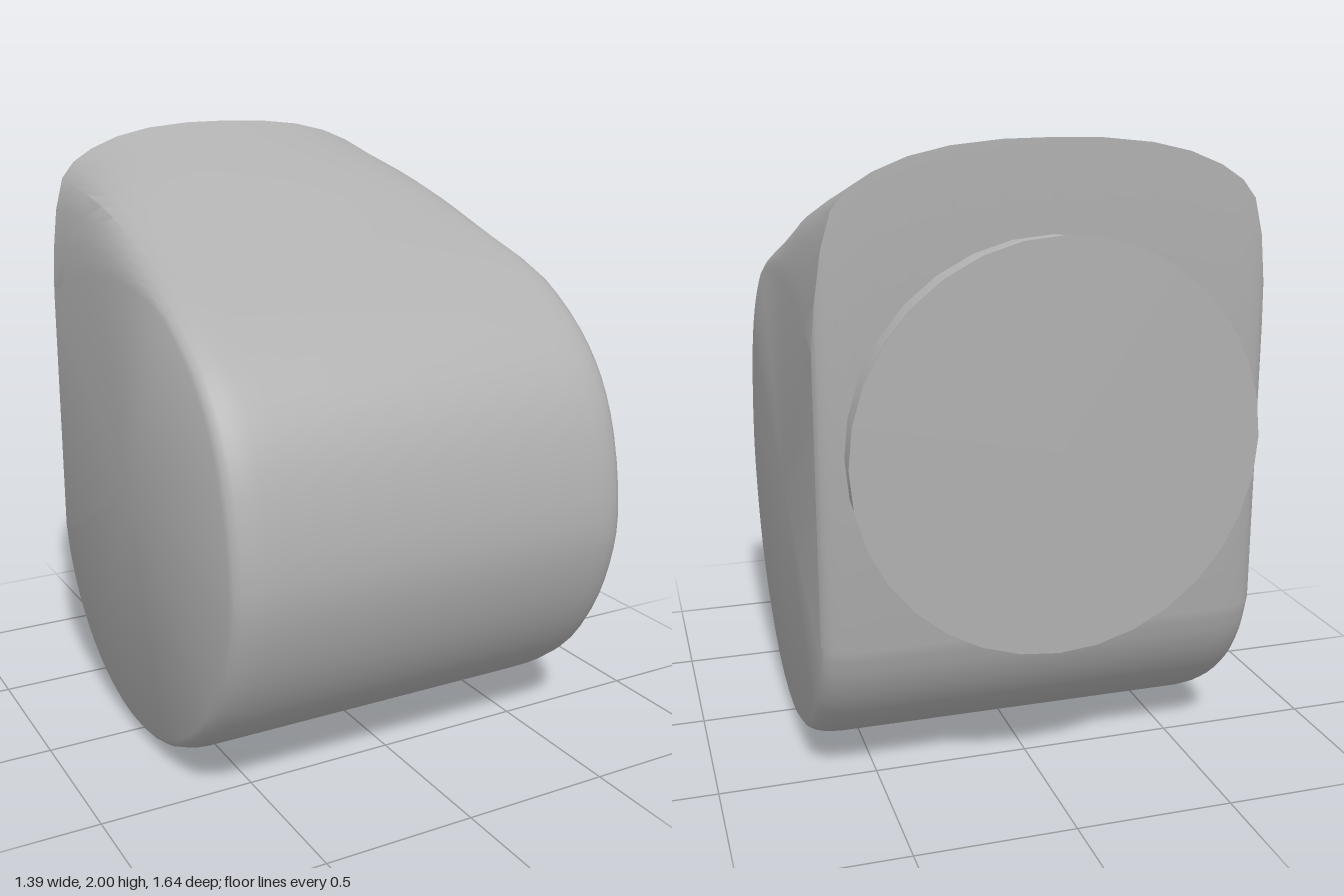
import * as THREE from 'three';
import { toCreasedNormals } from 'three/addons/utils/BufferGeometryUtils.js';

// Side outline as [z, y], from the top rear corner over the front to the lower rear
const OUTLINE = [
  [-0.71, 2.0], [-0.3, 1.85], [0, 1.71], [0.38, 1.53], [0.58, 1.39], [0.7, 1.25],
  [0.78, 1.07], [0.825, 0.8], [0.8, 0.62], [0.72, 0.42], [0.58, 0.24], [0.27, 0.05],
  [-0.05, 0.005], [-0.28, 0.055], [-0.43, 0.13], [-0.58, 0.26], [-0.67, 0.4], [-0.71, 0.52],
];

// Half-width stations: [x, inset of the outline, drop of the top at the rear]
const HALF = [
  [0.15, 0, 0.003], [0.3, 0, 0.018], [0.42, 0, 0.045], [0.52, 0, 0.085], [0.59, 0, 0.13],
  [0.635, 0.004, 0.18], [0.665, 0.012, 0.28], [0.685, 0.024, 0.42], [0.695, 0.04, 0.55],
];

function bodyGeometry() {
  const curve = new THREE.CatmullRomCurve3(
    OUTLINE.map(([z, y]) => new THREE.Vector3(0, y, z)), false, 'centripetal');
  const loop = curve.getPoints(51);
  const stations = [
    ...HALF.map(([x, s, d]) => [-x, s, d]).reverse(), [0, 0, 0], ...HALF,
  ];
  const n = loop.length;
  const positions = [];
  const index = [];

  // The top arches down towards both sides, most strongly at the rear
  for (const [x, inset, drop] of stations) {
    const k = 1 - inset / 0.8;
    for (const p of loop) {
      const rear = p.y > 1.2 ? Math.max(0, (0.4 - p.z) / 1.11) : 0;
      const y = p.y - drop * Math.pow(rear, 1.5);
      positions.push(x, 0.85 + (y - 0.85) * k, p.z * k);
    }
  }
  for (let i = 0; i < stations.length - 1; i++) {
    for (let j = 0; j < n; j++) {
      const a = i * n + j;
      const d = i * n + (j + 1) % n;
      index.push(a, d, d + n, a, d + n, a + n);
    }
  }

  // Flat side walls
  const last = (stations.length - 1) * n;
  const c = positions.length / 3;
  positions.push(stations[0][0], 0.85, 0, stations.at(-1)[0], 0.85, 0);
  for (let j = 0; j < n; j++) {
    const next = (j + 1) % n;
    index.push(c, next, j, c + 1, last + j, last + next);
  }

  const g = new THREE.BufferGeometry();
  g.setAttribute('position', new THREE.Float32BufferAttribute(positions, 3));
  g.setIndex(index);
  return toCreasedNormals(g, 0.6);
}

export function createModel() {
  const group = new THREE.Group();
  group.name = 'roundedHousing';
  const grey = new THREE.MeshStandardMaterial({ color: 0xb0b0b0 });
  grey.name = 'grey';

  const body = new THREE.Mesh(bodyGeometry(), grey);
  body.name = 'body';
  group.add(body);

  // Round rear boss with a slightly waisted rim
  const rim = [[0, 0], [0.62, 0], [0.615, 0.06], [0.605, 0.1], [0.625, 0.17], [0, 0.17]]
    .map(([r, h]) => new THREE.Vector2(r, h));
  const bossGeometry = toCreasedNormals(new THREE.LatheGeometry(rim, 32), 0.5);
  const boss = new THREE.Mesh(bossGeometry, grey);
  boss.name = 'rearBoss';
  boss.rotation.x = -Math.PI / 2;
  boss.position.set(0, 1.115, -0.65);
  group.add(boss);

  return group;
}
